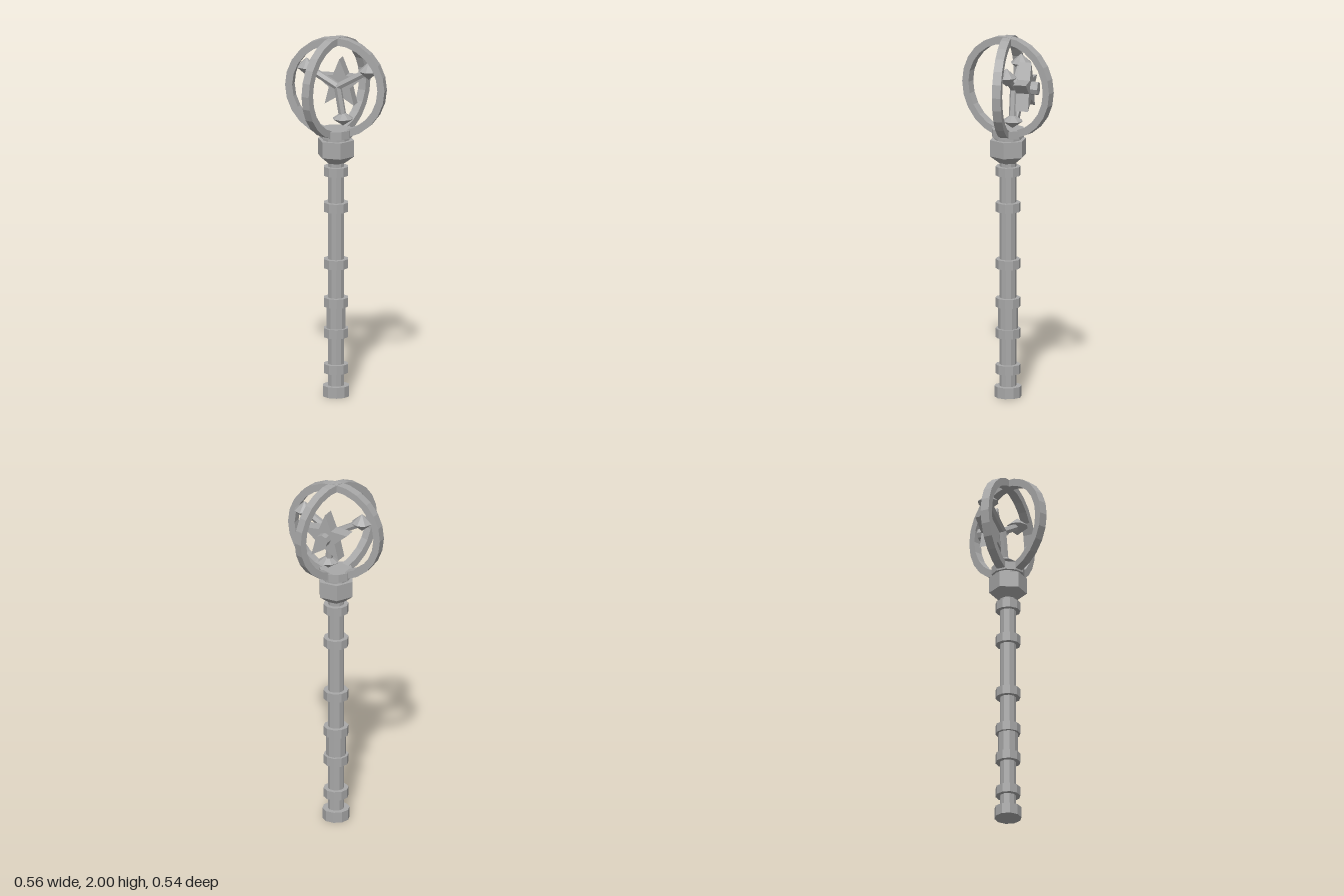
import * as THREE from 'three';

const CENTRE = 1.72; // height of the middle of the cage
const GEM_Z = -0.032;

export function createModel() {
  const model = new THREE.Group();
  model.name = 'staff';
  const metal = new THREE.MeshStandardMaterial({ color: 0xa8a8a8 });
  metal.name = 'greyMetal';
  metal.flatShading = true;

  const add = (name, geometry, x = 0, y = 0, z = 0, parent = model) => {
    const mesh = new THREE.Mesh(geometry, metal);
    mesh.name = name;
    mesh.position.set(x, y, z);
    parent.add(mesh);
    return mesh;
  };
  // Upright prism or frustum between two heights; corners lie on the x axis when turned
  const drum = (name, y0, y1, rBottom, rTop = rBottom, sides = 10, turn = Math.PI / 2) =>
    add(name, new THREE.CylinderGeometry(rTop, rBottom, y1 - y0, sides, 1, false, turn), 0, (y0 + y1) / 2);
  // Regular outline in the xy plane with alternating radii
  const outline = (count, radii, start, Type = THREE.Shape) => {
    const points = [];
    for (let i = 0; i < count; i++) {
      const a = start + (i / count) * Math.PI * 2;
      const r = radii[i % radii.length];
      points.push(new THREE.Vector2(Math.cos(a) * r, Math.sin(a) * r));
    }
    return new Type(points);
  };

  // Shaft with thicker grip
  drum('shaft', 0.03, 1.32, 0.045);
  drum('grip', 0.35, 0.52, 0.054);
  drum('pommel', 0, 0.06, 0.074);
  for (const y of [0.155, 0.355, 0.525, 0.74, 1.055, 1.255]) {
    drum('band', y - 0.025, y + 0.025, 0.068);
  }

  // Hexagonal head and collar under the cage
  drum('headTaper', 1.3, 1.34, 0.05, 0.102, 6);
  drum('head', 1.34, 1.43, 0.102, 0.102, 6);
  drum('neck', 1.43, 1.445, 0.075);
  drum('collar', 1.445, 1.49, 0.09, 0.09, 10, 0);

  // Cage of two crossed hoops
  const hoopShape = outline(24, [0.28], 0);
  hoopShape.holes.push(outline(24, [0.24], 0, THREE.Path));
  const hoopGeometry = new THREE.ExtrudeGeometry(hoopShape, { depth: 0.048, bevelEnabled: false });
  hoopGeometry.translate(0, 0, -0.024);
  add('hoop', hoopGeometry, 0, CENTRE, 0);
  add('crossHoop', hoopGeometry, 0, CENTRE, 0).rotation.y = THREE.MathUtils.degToRad(70);

  // Three arms from the hub, each ending in a faceted gem
  const up = new THREE.Vector3(0, 1, 0);
  const hub = new THREE.Vector3(0, 1.715, GEM_Z);
  const ends = [[-0.175, 1.815, 0.05], [0.175, 1.815, 0.05], [0.03, 1.54, 0.04]];
  for (const [x, y, height] of ends) {
    const end = new THREE.Vector3(x, y, GEM_Z);
    const direction = end.clone().sub(hub);
    const middle = hub.clone().add(end).multiplyScalar(0.5);
    const armGeometry = new THREE.CylinderGeometry(0.021, 0.021, direction.length(), 6);
    const arm = add('arm', armGeometry, middle.x, middle.y, middle.z);
    arm.quaternion.setFromUnitVectors(up, direction.normalize());

    const gem = new THREE.Group();
    gem.name = 'gem';
    gem.position.copy(end);
    model.add(gem);
    add('gemTop', new THREE.ConeGeometry(0.058, height, 8, 1, true), 0, height / 2, 0, gem);
    const lower = add('gemBottom', new THREE.ConeGeometry(0.058, height, 8, 1, true), 0, -height / 2, 0, gem);
    lower.rotation.x = Math.PI;
  }
  add('hub', new THREE.IcosahedronGeometry(0.022, 0), hub.x, hub.y, hub.z);

  // Five-pointed star with a boss on its back
  const star = outline(10, [0.14, 0.062], Math.PI / 2);
  add('star', new THREE.ExtrudeGeometry(star, { depth: 0.07, bevelEnabled: false }), 0, CENTRE, -0.13);
  const boss = add('boss', new THREE.CylinderGeometry(0.036, 0.036, 0.045, 8), 0, CENTRE, -0.1475);
  boss.rotation.x = Math.PI / 2;

  return model;
}
